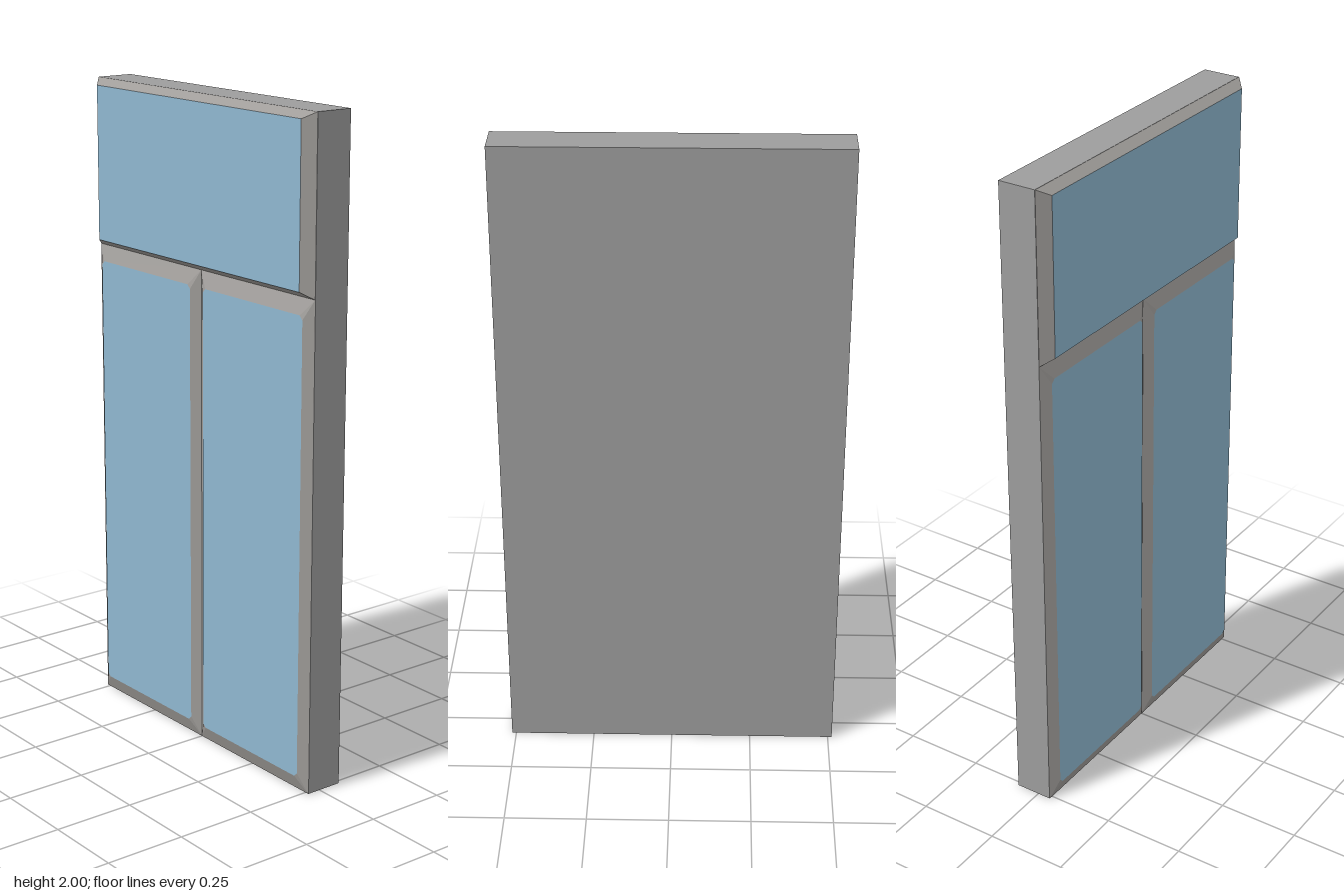
import * as THREE from 'three';

const W = 0.513, SILL = 1.485, BACK = -0.075, FACE = 0.043;

const bodyGrey = new THREE.MeshStandardMaterial({ name: 'body grey', color: 0x9d9d9d });
const frameGrey = new THREE.MeshStandardMaterial({ name: 'frame grey', color: 0x9f9c99 });
const glassBlue = new THREE.MeshStandardMaterial({ name: 'glass blue', color: 0x8fb7cf });

// Rectangle as eight counter-clockwise points, two per corner, cut by c
function loop(x0, x1, y0, y1, c, z) {
  return [
    [x0, y0 + c], [x0 + c, y0], [x1 - c, y0], [x1, y0 + c],
    [x1, y1 - c], [x1 - c, y1], [x0 + c, y1], [x0, y1 - c],
  ].map(([x, y]) => new THREE.Vector3(x, y, z));
}

function meshOf(name, triangles, material) {
  const solid = triangles.filter((t) => new THREE.Triangle(...t).getArea() > 1e-8);
  const geometry = new THREE.BufferGeometry().setFromPoints(solid.flat());
  geometry.computeVertexNormals();
  const mesh = new THREE.Mesh(geometry, material);
  mesh.name = name;
  return mesh;
}

// Raised pane: sloping border from the wall face up to a flat sheet of glass
function pane(name, x0, x1, y0, y1, insetX, insetY, cut, front) {
  const outer = loop(x0, x1, y0, y1, 0, FACE);
  const inner = loop(x0 + insetX, x1 - insetX, y0 + insetY, y1 - insetY, cut, front);
  const border = [], glass = [];
  const centre = new THREE.Vector3((x0 + x1) / 2, (y0 + y1) / 2, front);
  for (let i = 0; i < 8; i++) {
    const j = (i + 1) % 8;
    border.push([outer[i], outer[j], inner[j]], [outer[i], inner[j], inner[i]]);
    glass.push([centre, inner[i], inner[j]]);
  }
  const group = new THREE.Group();
  group.name = name;
  group.add(meshOf(name + 'Border', border, frameGrey), meshOf(name + 'Glass', glass, glassBlue));
  return group;
}

export function createModel() {
  const model = new THREE.Group();
  model.name = 'window';

  // Solid slab behind the panes
  const slab = new THREE.Mesh(new THREE.BoxGeometry(2 * W, 2, FACE - BACK - 0.001), bodyGrey);
  slab.name = 'slab';
  slab.position.set(0, 1, (FACE + BACK - 0.001) / 2);
  model.add(slab);

  // Wide top light over two tall panes
  model.add(pane('topLight', -W, W, SILL, 2, 0.033, 0.02, 0, 0.073));
  model.add(pane('rightPane', -W, 0, 0, SILL, 0.031, 0.048, 0.012, 0.062));
  model.add(pane('leftPane', 0, W, 0, SILL, 0.031, 0.048, 0.012, 0.062));
  return model;
}
